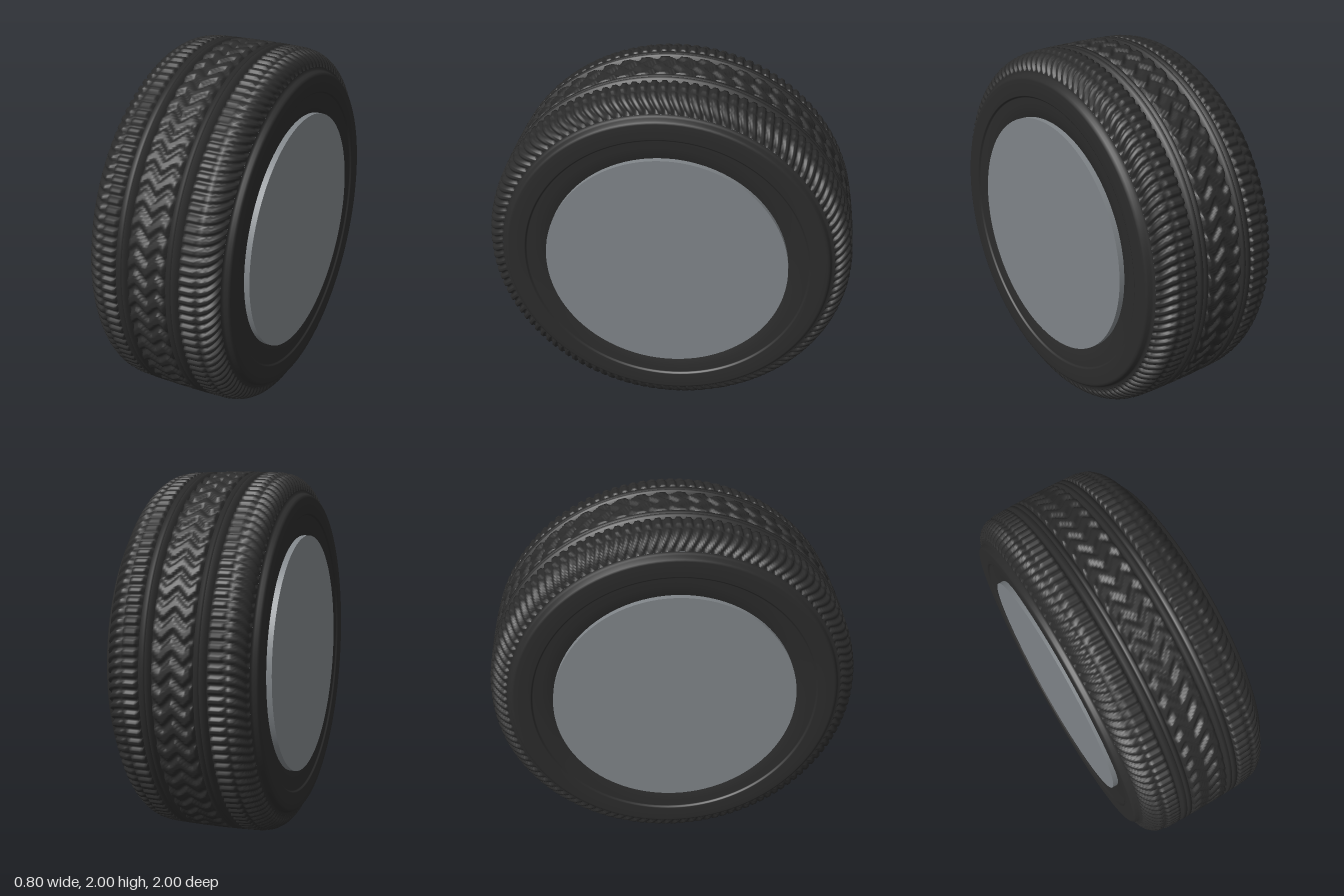
import * as THREE from 'three';

const SEGMENTS = 840;   // steps around the tyre
const RIBS = 120;       // cross ribs on each shoulder
const CHEVRONS = 60;    // chevron blocks on the centre band
const GROOVES = [[0.104, 0.112, 0.026], [0.137, 0.142, 0.012], [0.171, 0.181, 0.026]];

// Half of the tread section: flat crown, then a rounded shoulder.
// Each column has a position (x, r) and an outward direction (nx, nr).
function halfSection() {
  const crown = [0, 0.012, 0.025, 0.0375, 0.05, 0.0625, 0.075, 0.088, 0.1, 0.104, 0.112, 0.116,
    0.134, 0.137, 0.142, 0.145, 0.167, 0.171, 0.181, 0.185, 0.2, 0.22];
  const columns = crown.map((x) => ({ x, r: 1 - 0.005 * (x / 0.24) ** 2, nx: 0, nr: 1, shoulder: 0 }));
  const steps = 12;
  for (let i = 0; i <= steps; i++) {
    const a = (i / steps) * Math.PI / 2;
    columns.push({
      x: 0.24 + 0.125 * Math.sin(a), r: 0.9 + 0.095 * Math.cos(a),
      nx: Math.sin(a), nr: Math.cos(a), shoulder: i / steps, thinGroove: i === 2,
    });
  }
  return columns;
}

const fract = (v) => v - Math.floor(v);

// How far the surface is cut in at a column and angle
function cutDepth(col, angle) {
  const x = Math.abs(col.x);
  const turn = angle / (Math.PI * 2);
  for (const [from, to, depth] of GROOVES) if (x >= from && x <= to) return depth;
  if (x <= 0.1) {
    // Zigzag slots: a V in the middle with upturned ends
    const bend = x < 0.06 ? x / 0.06 : 1 - (x - 0.06) / 0.06;
    const f = fract(turn * CHEVRONS + bend * 0.6);
    const wave = Math.max(0, Math.sin(f * Math.PI * 2));
    return 0.017 * Math.sqrt(wave);
  }
  if (x < 0.185) return 0;
  if (col.thinGroove) return 0.014;
  // Cross ribs that sweep back over the shoulder and fade at its foot
  const f = fract(turn * RIBS + col.shoulder * col.shoulder * 1.2);
  const slot = Math.max(0, Math.cos(f * Math.PI * 2) - 0.05);
  return 0.014 * Math.sqrt(slot) * (col.shoulder > 0.95 ? 0 : 1);
}

function treadGeometry() {
  const half = halfSection();
  const mirrored = half.slice(1).reverse().map((c) => ({ ...c, x: -c.x, nx: -c.nx }));
  const columns = [...mirrored, ...half];
  const n = columns.length;
  const positions = [];
  const index = [];
  for (let j = 0; j < SEGMENTS; j++) {
    const angle = (j / SEGMENTS) * Math.PI * 2;
    columns.forEach((c, i) => {
      const d = cutDepth(c, angle);
      const r = c.r - c.nr * d;
      positions.push(c.x - c.nx * d, r * Math.cos(angle), r * Math.sin(angle));
      if (i === n - 1) return;
      const a = j * n + i;
      const b = ((j + 1) % SEGMENTS) * n + i;
      index.push(a, b, a + 1, a + 1, b, b + 1);
    });
  }
  const geometry = new THREE.BufferGeometry();
  geometry.setAttribute('position', new THREE.Float32BufferAttribute(positions, 3));
  geometry.setIndex(index);
  geometry.computeVertexNormals();
  return geometry;
}

export function createModel() {
  const rubber = new THREE.MeshStandardMaterial({ color: 0x2b2b2b });
  rubber.name = 'black rubber';
  const metal = new THREE.MeshStandardMaterial({ color: 0x7f8488 });
  metal.name = 'grey metal';

  const model = new THREE.Group();
  model.name = 'wheel';
  const add = (name, geometry, material) => {
    const mesh = new THREE.Mesh(geometry, material);
    mesh.name = name;
    mesh.position.y = 1;
    model.add(mesh);
    return mesh;
  };

  add('tread', treadGeometry(), rubber);

  // Sidewalls: step out to a flat ring, then dip in towards the hub
  const profile = [[0.9, 0.365], [0.888, 0.367], [0.882, 0.375], [0.877, 0.39], [0.87, 0.397], [0.86, 0.4],
    [0.82, 0.4], [0.775, 0.398], [0.77, 0.396], [0.767, 0.389], [0.762, 0.388], [0.72, 0.386],
    [0.68, 0.379], [0.655, 0.37], [0.62, 0.36]].map(([r, y]) => new THREE.Vector2(r, y));
  for (const side of [1, -1]) {
    const wall = new THREE.LatheGeometry(profile, 120);
    wall.rotateZ(-side * Math.PI / 2);
    add(side > 0 ? 'leftSidewall' : 'rightSidewall', wall, rubber);
  }

  // Plain hub disc running through the tyre
  const hub = new THREE.CylinderGeometry(0.655, 0.655, 0.8, 96);
  hub.rotateZ(Math.PI / 2);
  add('hubDisc', hub, metal);

  return model;
}
